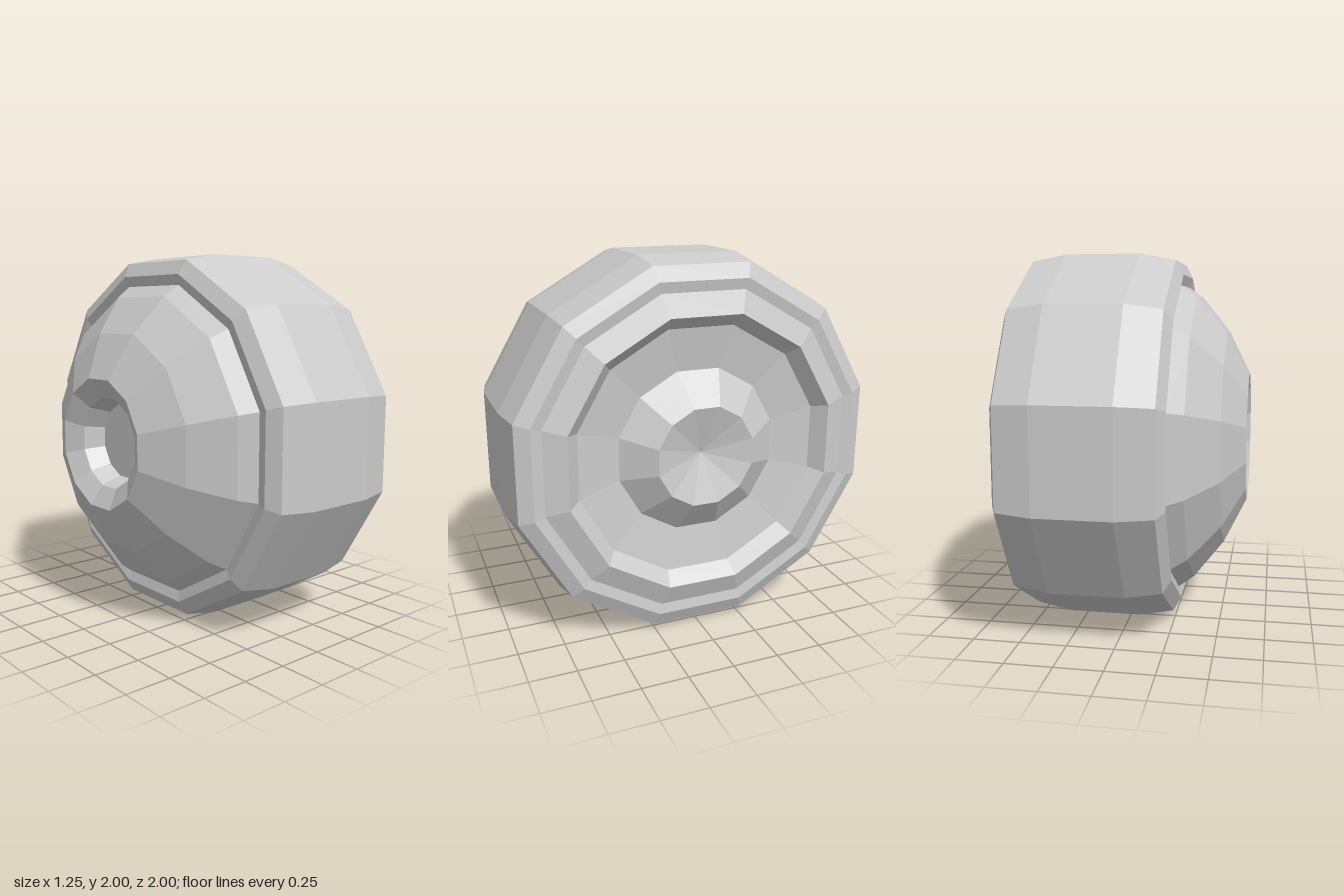
import * as THREE from 'three';

const SIDES = 12;
const CORNER = 1 / Math.cos(Math.PI / SIDES); // flat-to-flat radius -> corner radius

// Faceted ring turned around the x axis from [x, radius to flat] pairs, listed
// from the inner (-x) face, over the outside, to the outer (+x) face.
function turnedPart(name, profile, material) {
  const points = profile.map(([x, r]) => new THREE.Vector2(r * CORNER, x));
  const geometry = new THREE.LatheGeometry(points, SIDES, Math.PI / SIDES);
  geometry.rotateZ(-Math.PI / 2);
  geometry.translate(0, 1, 0);
  const mesh = new THREE.Mesh(geometry, material);
  mesh.name = name;
  return mesh;
}

export function createModel() {
  const group = new THREE.Group();
  group.name = 'wheel';
  const grey = new THREE.MeshStandardMaterial({ color: 0xcccccc, flatShading: true });

  // Recessed axle socket in the middle of the inner dome
  group.add(turnedPart('axleSocket', [
    [-0.46, 0], [-0.46, 0.2], [-0.57, 0.24], [-0.63, 0.345],
  ], grey));

  // Domed inner side
  group.add(turnedPart('innerDome', [
    [-0.63, 0.345], [-0.51, 0.58], [-0.35, 0.775], [-0.265, 0.835],
  ], grey));

  // Tyre with bevelled shoulders and side walls
  group.add(turnedPart('tyre', [
    [-0.265, 0.835], [-0.28, 0.89], [-0.24, 0.965], [-0.05, 1],
    [0.35, 1], [0.54, 0.965], [0.575, 0.89], [0.565, 0.835],
  ], grey));

  // Raised rim lip and the sunken dish behind it
  group.add(turnedPart('rim', [
    [0.565, 0.835], [0.61, 0.72], [0.535, 0.655], [0.5, 0.43],
  ], grey));

  // Conical hub with a hollow centre
  group.add(turnedPart('hub', [
    [0.5, 0.43], [0.625, 0.26], [0.545, 0],
  ], grey));

  return group;
}
